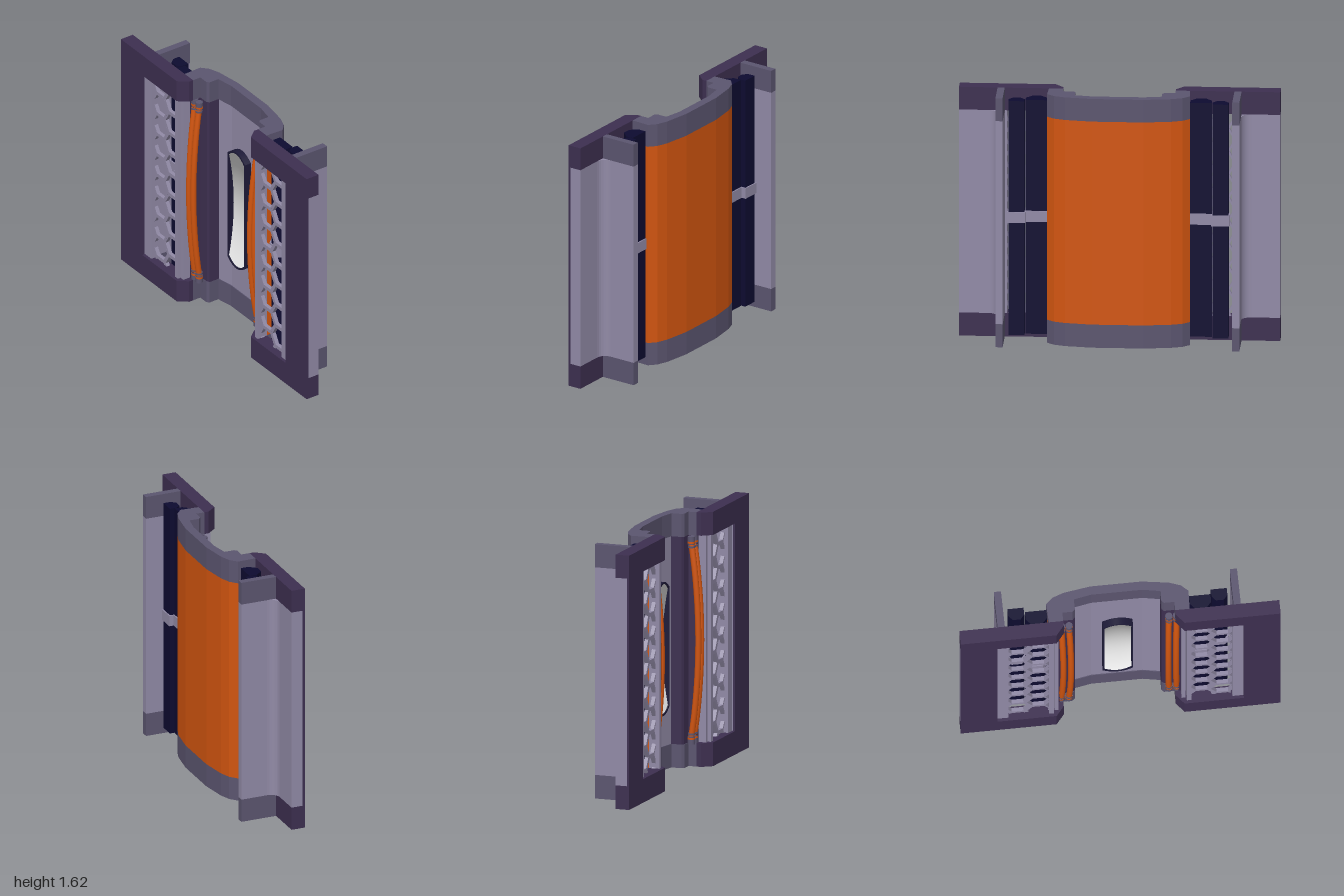
import * as THREE from 'three';

const mat = (name, color) => {
  const m = new THREE.MeshStandardMaterial({ color });
  m.name = name;
  return m;
};

export function createModel() {
  const purple = mat('dark purple', 0x3d2f50);
  const grey = mat('mid grey', 0x5b556f);
  const light = mat('light lilac', 0x918aa6);
  const navy = mat('navy', 0x0d0b30);
  const orange = mat('orange', 0xd2550f);
  const rimDark = mat('rim dark', 0x1d1a38);
  const white = mat('lamp white', 0xe2e2e2);

  const root = new THREE.Group();
  root.name = 'wallPanel';
  const H = 1.617, LO = 0.15, HI = 1.47;

  const add = (geo, m, name) => {
    const mesh = new THREE.Mesh(geo, m);
    mesh.name = name;
    root.add(mesh);
    return mesh;
  };
  // Upright prism from an [x, z] outline; s = -1 mirrors it
  const prism = (pts, y0, y1, m, name, s = 1) => {
    const shape = new THREE.Shape(pts.map(([x, z]) => new THREE.Vector2(s * x, -z)));
    const geo = new THREE.ExtrudeGeometry(shape, { depth: y1 - y0, bevelEnabled: false });
    geo.rotateX(-Math.PI / 2).translate(0, y0, 0);
    return add(geo, m, name);
  };
  const box = (x0, x1, y0, y1, z0, z1, m, name, s = 1) => {
    const geo = new THREE.BoxGeometry(x1 - x0, y1 - y0, z1 - z0);
    geo.translate(s * (x0 + x1) / 2, (y0 + y1) / 2, (z0 + z1) / 2);
    return add(geo, m, name);
  };
  const mirrorX = (pts) => pts.map(([x, z]) => [-x, z]).reverse();
  const closed = (outer, inner) => [...outer, ...mirrorX(outer), ...mirrorX(inner), ...inner].filter(
    (p, i, a) => i === 0 || p[0] !== a[i - 1][0] || p[1] !== a[i - 1][1]);
  const ends = [[0, LO], [HI, H]];

  // Arched centre: grey ends, orange back skin, light inner panel
  const outer = [[0.44, 0.07], [0.445, -0.05], [0.40, -0.09], [0.33, -0.115], [0.16, -0.14]];
  const skin = [[0.16, -0.128], [0.33, -0.104], [0.39, -0.082], [0.432, -0.045], [0.43, 0.07]];
  const inner = [[0.16, -0.085], [0.27, -0.065], [0.27, 0], [0.285, 0.015], [0.35, 0.015], [0.35, 0.07]];
  for (const [a, b] of ends) prism(closed(outer, inner), a, b, grey, 'archEnd');
  prism(closed(outer, skin), LO, HI, orange, 'backSkin');
  prism(closed([[0.27, -0.112], [0.16, -0.128]], [[0.16, -0.09], [0.27, -0.07]]), LO, HI, light, 'centrePanel');

  // Lamp: dark rim with a dished white reflector
  const capsule = (w, y0, y1, rise, Type) => {
    const p = new Type();
    p.moveTo(-w, y0 + rise);
    p.quadraticCurveTo(-w * 0.5, y0, 0, y0);
    p.quadraticCurveTo(w * 0.5, y0, w, y0 + rise);
    p.lineTo(w, y1 - rise);
    p.quadraticCurveTo(w * 0.5, y1, 0, y1);
    p.quadraticCurveTo(-w * 0.5, y1, -w, y1 - rise);
    p.closePath();
    return p;
  };
  const rim = capsule(0.095, 0.385, 1.235, 0.045, THREE.Shape);
  rim.holes.push(capsule(0.085, 0.397, 1.223, 0.045, THREE.Path));
  const rimGeo = new THREE.ExtrudeGeometry(rim, { depth: 0.045, bevelEnabled: false });
  add(rimGeo.translate(0, 0, -0.055), rimDark, 'lampRim');
  const dish = new THREE.PlaneGeometry(2, 2, 8, 32);
  const pos = dish.attributes.position, nor = dish.attributes.normal;
  for (let i = 0; i < pos.count; i++) {
    const u = pos.getX(i), t = pos.getY(i);
    const half = 0.413 - 0.043 * u * u;
    pos.setXYZ(i, u * 0.086, 0.81 + t * half, -0.052 + 0.036 * t * t);
    const n = new THREE.Vector3(0, -0.8 * t, 1).normalize();
    nor.setXYZ(i, n.x, n.y, n.z);
  }
  add(dish, white, 'lampReflector');
  const back = new THREE.ShapeGeometry(capsule(0.095, 0.385, 1.235, 0.045, THREE.Shape));
  add(back.rotateY(Math.PI).translate(0, 0, -0.055), rimDark, 'lampBack');

  // Honeycomb cell
  const R = 0.0866, pitch = 0.15;
  const hex = (r) => Array.from({ length: 6 }, (_, i) =>
    new THREE.Vector2(r * Math.cos(i * Math.PI / 3), r * Math.sin(i * Math.PI / 3)));
  const cell = new THREE.Shape(hex(R));
  cell.holes.push(new THREE.Path(hex(R - 0.014)));
  const cellGeo = new THREE.ExtrudeGeometry(cell, { depth: 0.025, bevelEnabled: false });

  // Pipe outlines
  const pipes = [
    [[0.585, -0.06], [0.685, -0.06], [0.685, -0.015], [0.66, 0.015], [0.61, 0.015], [0.585, -0.015]],
    [[0.445, -0.03], [0.58, -0.03], [0.58, 0.02], [0.54, 0.065], [0.485, 0.065], [0.445, 0.02]],
  ];
  const grow = (pts, d) => {
    const cx = (pts[0][0] + pts[1][0]) / 2, cz = (pts[0][1] + pts[4][1]) / 2;
    return pts.map(([x, z]) => [x + d * Math.sign(x - cx), z + d * Math.sign(z - cz)]);
  };

  for (const s of [1, -1]) {
    // Wing frame with chamfered inner edge
    for (const [a, b] of ends) {
      prism([[1, 0.07], [1, 0.16], [0.40, 0.16], [0.35, 0.10], [0.35, 0.07]], a, b, purple, 'wingEnd', s);
      box(0.715, 0.76, a, b, -0.165, 0.07, grey, 'ribEnd', s);
    }
    box(0.77, 1, LO, HI, 0.145, 0.16, purple, 'wingFace', s);
    box(0.77, 1, LO, HI, 0.07, 0.145, light, 'wingCore', s);

    // Rear rib, its fillet and the opening's ledges
    box(0.715, 0.76, LO, HI, -0.165, 0.07, light, 'rib', s);
    const fillet = [[0.76, 0.07]];
    for (let i = 0; i <= 6; i++) {
      const a = (i / 6) * Math.PI / 2;
      fillet.push([0.82 - 0.06 * Math.cos(a), 0.01 + 0.06 * Math.sin(a)]);
    }
    prism(fillet, LO, HI, light, 'ribFillet', s);
    box(0.70, 0.77, LO, HI, 0.07, 0.14, light, 'outerLedge', s);
    box(0.415, 0.445, LO, HI, 0.07, 0.14, light, 'innerLedge', s);
    box(0.385, 0.41, LO, HI, 0.06, 0.12, light, 'innerTrim', s);

    // Side channel behind the cables
    prism([[0.27, -0.112], [0.33, -0.104], [0.39, -0.082], [0.432, -0.045], [0.43, 0.07], [0.35, 0.07],
      [0.35, 0.015], [0.285, 0.01], [0.27, 0]], LO, HI, purple, 'sideChannel', s);

    // Bowed cables with end sockets
    for (const x of [0.312, 0.36]) {
      const pts = [];
      for (let i = 0; i <= 8; i++) {
        const t = i / 4 - 1;
        pts.push(new THREE.Vector3(s * (x - 0.008 * (1 - t * t)), 0.81 + 0.62 * t, 0.05 + 0.05 * (1 - t * t)));
      }
      add(new THREE.TubeGeometry(new THREE.CatmullRomCurve3(pts), 24, 0.019, 10), orange, 'cable');
      for (const y of [0.175, 1.445]) {
        const d = y < 0.8 ? 1 : -1;
        const socket = new THREE.CylinderGeometry(0.023, 0.023, 0.05, 12);
        add(socket.translate(s * x, y, 0.05), grey, 'cableSocket');
        const band = new THREE.CylinderGeometry(0.024, 0.024, 0.012, 12);
        add(band.translate(s * x, y + d * 0.012, 0.05), orange, 'socketBand');
        const collar = new THREE.CylinderGeometry(0.023, 0.023, 0.012, 12);
        add(collar.translate(s * x, y + d * 0.04, 0.052), grey, 'cableCollar');
      }
    }

    // Rear pipes and their clips
    for (const p of pipes) {
      prism(p, 0.05, 1.57, navy, 'pipe', s);
      prism(grow(p, 0.008), 0.78, 0.85, light, 'pipeClip', s);
    }

    // Honeycomb grille, two staggered columns
    for (let col = 0; col < 2; col++) {
      for (let k = -1; k <= 8; k++) {
        const m = add(cellGeo, light, 'grilleCell');
        m.position.set(s * (0.51 + col * 0.13), 1.37 - col * pitch / 2 - k * pitch, 0.09);
      }
    }
  }
  return root;
}
